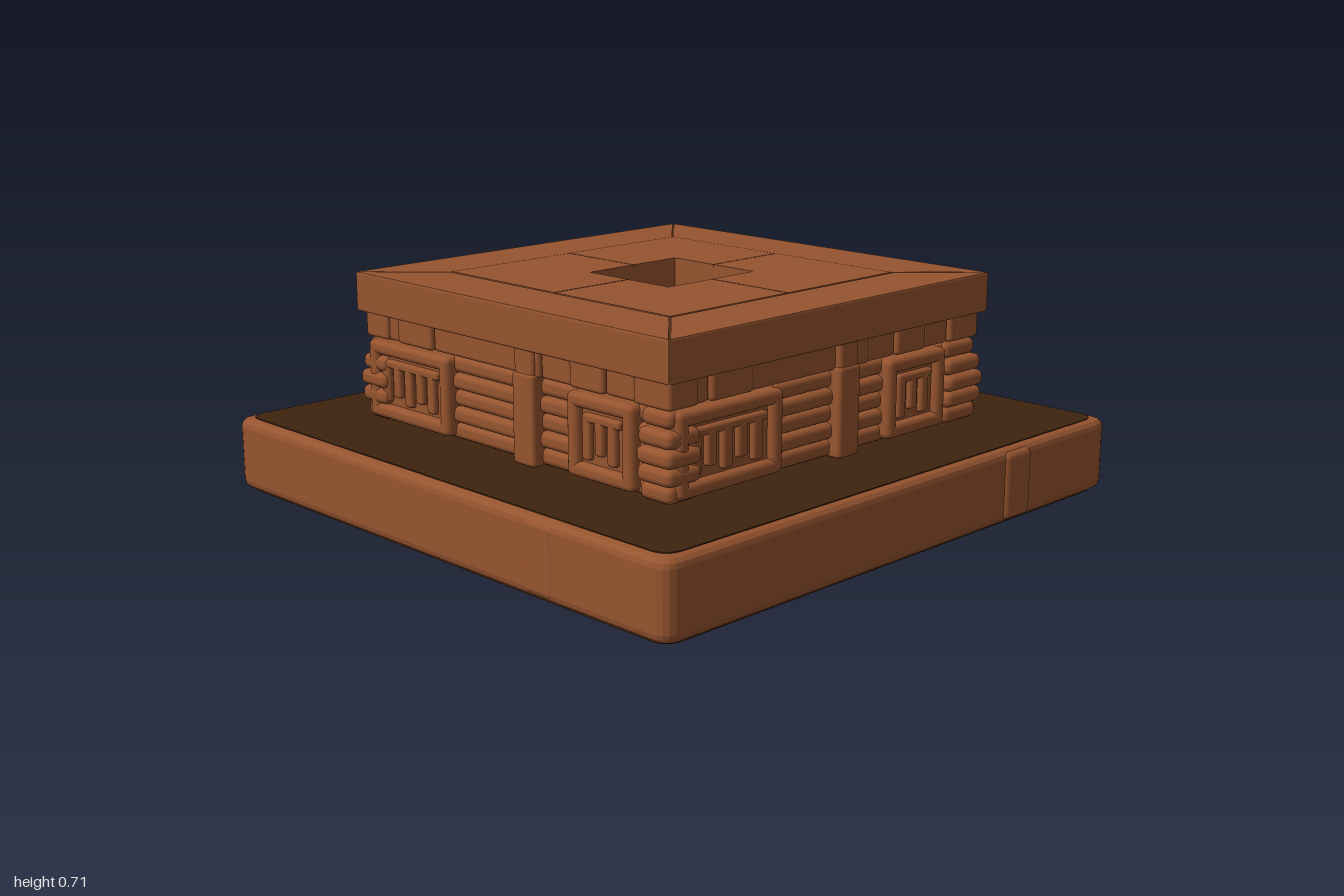
import * as THREE from 'three';
import { RoundedBoxGeometry } from 'three/addons/geometries/RoundedBoxGeometry.js';

const HX = 0.175, HZ = 0.187; // half size of the shaft opening

export function createModel() {
  const clay = new THREE.MeshStandardMaterial({ color: 0x96542f });
  clay.name = 'clay';
  const soil = new THREE.MeshStandardMaterial({ color: 0x3e230f });
  soil.name = 'darkSoil';

  const model = new THREE.Group();
  model.name = 'steppedAltar';

  function add(parent, name, geometry, material = clay) {
    const mesh = new THREE.Mesh(geometry, material);
    mesh.name = name;
    parent.add(mesh);
    return mesh;
  }

  // Rounded stone given by its limits
  function stone(parent, name, x0, x1, y0, y1, z0, z1, r = 0.015) {
    const g = new RoundedBoxGeometry(x1 - x0, y1 - y0, z1 - z0, 2, r);
    g.translate((x0 + x1) / 2, (y0 + y1) / 2, (z0 + z1) / 2);
    return add(parent, name, g);
  }

  const polygon = (points) => new THREE.Shape(points.map(([x, y]) => new THREE.Vector2(x, y)));
  const rect = (w, d) => [[-w, -d], [w, -d], [w, d], [-w, d]];

  // Square outline with rounded corners and a rectangular opening
  function ring(w, d, r, holeX, holeZ) {
    const s = new THREE.Shape();
    s.moveTo(-w + r, -d);
    s.lineTo(w - r, -d);
    s.quadraticCurveTo(w, -d, w, -d + r);
    s.lineTo(w, d - r);
    s.quadraticCurveTo(w, d, w - r, d);
    s.lineTo(-w + r, d);
    s.quadraticCurveTo(-w, d, -w, d - r);
    s.lineTo(-w, -d + r);
    s.quadraticCurveTo(-w, -d, -w + r, -d);
    s.holes.push(polygon(rect(holeX, holeZ).reverse()));
    return s;
  }

  // Extrudes a plan upward from y0 to y1; the bevel stays inside those limits
  function slab(shape, y0, y1, bevel = 0) {
    const g = new THREE.ExtrudeGeometry(shape, {
      depth: y1 - y0 - 2 * bevel, curveSegments: 5, bevelEnabled: bevel > 0,
      bevelThickness: bevel, bevelSize: bevel, bevelOffset: -bevel, bevelSegments: 3,
    });
    g.rotateX(-Math.PI / 2);
    g.translate(0, y0 + bevel, 0);
    return g;
  }

  // Base, its dark terrace and underside
  add(model, 'base', slab(ring(0.985, 0.992, 0.06, 0.4, 0.4), 0.006, 0.237, 0.028));
  add(model, 'terrace', slab(ring(0.953, 0.96, 0.06, 0.45, 0.45), 0.232, 0.24), soil);
  add(model, 'underside', slab(ring(0.96, 0.967, 0.06, HX, HZ), 0, 0.008), soil);

  // Hollow core with the square shaft
  add(model, 'shaft', slab(ring(0.487, 0.487, 0.005, HX, HZ), 0.008, 0.7));
  add(model, 'core', slab(ring(0.635, 0.635, 0.01, 0.48, 0.48), 0.23, 0.69));

  // Four paving stones around the opening, with fine joints
  const e = 0.488, j = 0.002;
  for (const [sx, sz] of [[1, 1], [-1, 1], [-1, -1], [1, -1]]) {
    const pts = [[HX, j], [e, j], [e, e], [j, e], [j, HZ], [HX, HZ]]
      .map(([x, z]) => [x * sx, z * sz]);
    add(model, 'pavingStone', slab(polygon(pts), 0.699, 0.708));
  }

  // Framed relief with upright bars and a hooked inner line
  function relief(parent, x0, x1, bars) {
    const y0 = 0.25, y1 = 0.498, t = 0.045, zb = 0.62, zf = 0.698;
    const panel = new THREE.Group();
    panel.name = 'reliefPanel';
    parent.add(panel);
    stone(panel, 'panelBack', x0 + 0.02, x1 - 0.02, y0 + 0.02, y1 - 0.02, zb, 0.672, 0.008);
    stone(panel, 'panelTop', x0, x1, y1 - t, y1, zb, zf, 0.018);
    stone(panel, 'panelBottom', x0, x1, y0, y0 + t, zb, zf, 0.018);
    stone(panel, 'panelLeft', x0, x0 + t, y0, y1, zb, zf, 0.018);
    stone(panel, 'panelRight', x1 - t, x1, y0, y1, zb, zf, 0.018);
    const a = x0 + t + 0.012, b = x1 - t - 0.012, step = (b - a) / bars;
    stone(panel, 'innerTop', a, b, 0.415, 0.442, zb, 0.69, 0.01);
    for (let i = 0; i < bars; i++) {
      const low = i % 2 ? 0.325 : 0.305;
      stone(panel, 'uprightBar', a + i * step, a + i * step + step * 0.66, low, 0.43, zb, 0.69, 0.01);
    }
  }

  // One decorated wall, facing +z
  function wall(index, p) {
    const side = new THREE.Group();
    side.name = ['frontWall', 'rightWall', 'backWall', 'leftWall'][index];
    side.rotation.y = index * Math.PI / 2;
    model.add(side);

    // Stacked courses, with thicker ends at the corners
    for (let i = 0; i < 5; i++) {
      const y = 0.242 + i * 0.052;
      const shift = (i % 2) * 0.006;
      stone(side, 'course', -0.665, 0.665, y, y + 0.05, 0.57, 0.664 + shift, 0.018);
      const out = 0.675 + 0.028 * Math.sin(Math.PI * (i + 0.7) / 5);
      stone(side, 'cornerCourse', p.right[1] + 0.015, out, y, y + 0.05, 0.57, out, 0.02);
      stone(side, 'cornerCourse', -out, -0.6, y, y + 0.05, 0.57, out - 0.01, 0.02);
    }

    // Band of blocks under the cap
    const joints = [-0.685, -0.52, -0.35, 0.04, 0.15, 0.28, 0.42, 0.54, 0.685];
    for (let i = 0; i + 1 < joints.length; i++) {
      stone(side, 'bandBlock', joints[i], joints[i + 1], 0.503, 0.588, 0.57, 0.674 + (i % 2) * 0.01, 0.012);
    }

    // Pillar with a narrower head
    stone(side, 'pillar', p.pillar - 0.047, p.pillar + 0.047, 0.238, 0.515, 0.6, 0.7, 0.012);
    stone(side, 'pillarHead', p.pillar - 0.042, p.pillar + 0.042, 0.49, 0.592, 0.6, 0.695, 0.012);

    relief(side, ...p.left, 5);
    relief(side, ...p.right, 3);

    // Mitred cap stone
    const o = 0.702, n = 0.49, g = 0.001;
    const cap = polygon([[-o + g, -o], [o - g, -o], [n - g, -n], [-n + g, -n]]);
    add(side, 'capStone', slab(cap, 0.583, 0.708, 0.008));
    // Backing closes the mitre joints
    stone(side, 'capBacking', -0.692, 0.692, 0.59, 0.703, 0.48, 0.692, 0.01);

    // Repair block set in the base face
    stone(side, 'baseBlock', 0.43, 0.56, 0.016, 0.228, 0.9, 0.995, 0.02);
  }

  const longWall = { left: [-0.66, -0.26], pillar: 0.095, right: [0.28, 0.55] };
  const shortWall = { left: [-0.66, -0.24], pillar: 0.045, right: [0.23, 0.51] };
  for (let i = 0; i < 4; i++) wall(i, i % 2 ? shortWall : longWall);

  return model;
}
